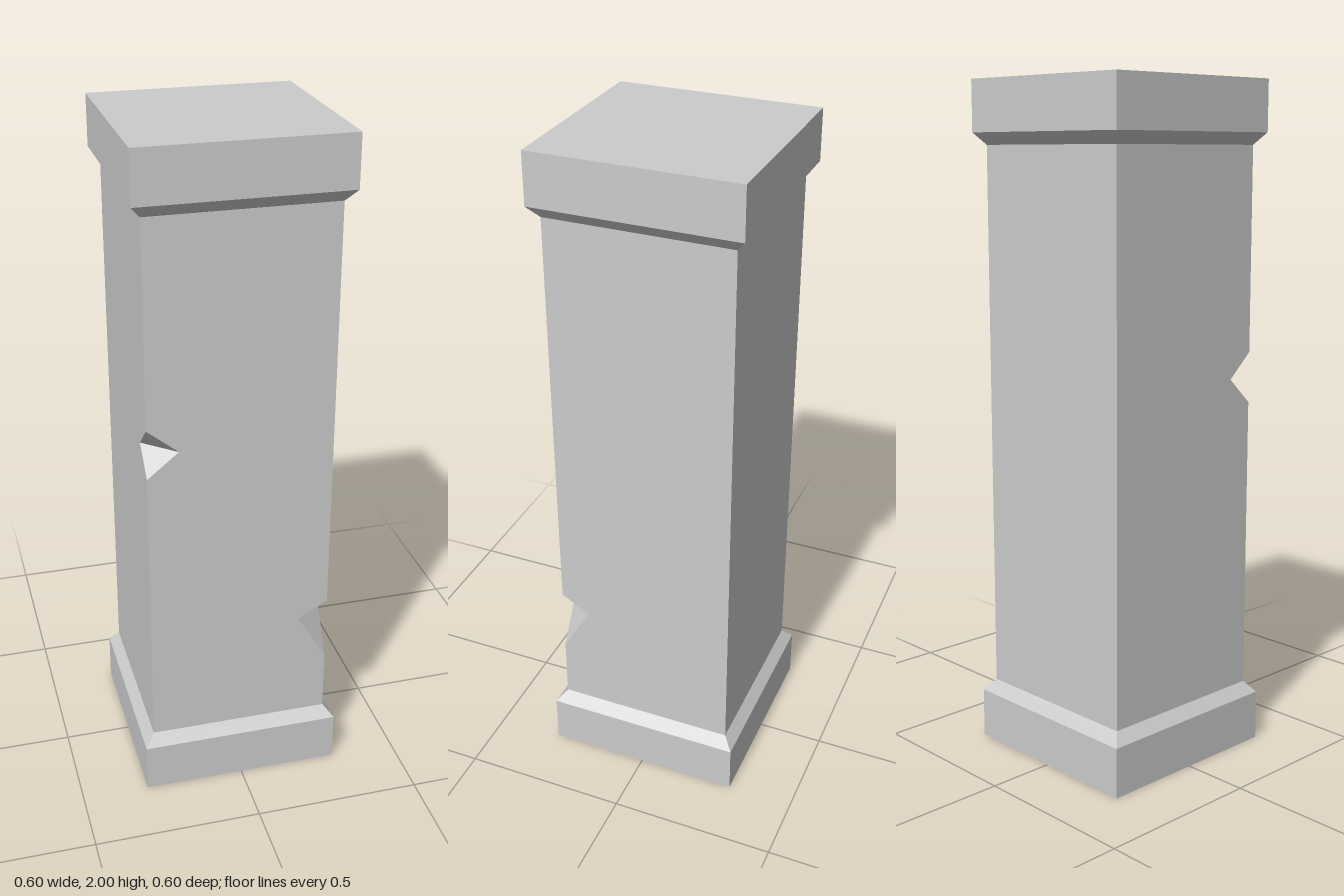
import * as THREE from 'three';

const HALF = 0.271;   // half width of the shaft
const WIDE = 0.3;     // half width of base and cap
const LOW = 0.185, HIGH = 1.815;

const material = new THREE.MeshStandardMaterial({ color: 0xcccccc, flatShading: true });

// Chips broken out of the two front corners; inset is measured along each face
const rightChip = { side: 1, top: 0.575, mid: 0.525, bottom: 0.375, front: 0.09, flank: 0.087 };
const leftChip = { side: -1, top: 1.215, mid: 1.14, bottom: 1.065, front: 0.092, flank: 0.083 };

function addMesh(parent, name, geometry) {
  const mesh = new THREE.Mesh(geometry, material);
  mesh.name = name;
  parent.add(mesh);
  return mesh;
}

// Square solid from a profile of [half width, height]
function squareSolid(profile) {
  const points = profile.map(([w, y]) => new THREE.Vector2(w * Math.SQRT2, y));
  return new THREE.LatheGeometry(points, 4).rotateY(Math.PI / 4);
}

// One face of the shaft, with optional notches in its left and right edges
function panel(angle, leftNotch, rightNotch) {
  const points = [[-HALF, LOW], [HALF, LOW]];
  if (rightNotch) {
    const [c, d] = rightNotch;
    points.push([HALF, c.bottom], [HALF - d, c.mid], [HALF, c.top]);
  }
  points.push([HALF, HIGH], [-HALF, HIGH]);
  if (leftNotch) {
    const [c, d] = leftNotch;
    points.push([-HALF, c.top], [-HALF + d, c.mid], [-HALF, c.bottom]);
  }
  const shape = new THREE.Shape(points.map(([x, y]) => new THREE.Vector2(x, y)));
  return new THREE.ShapeGeometry(shape).translate(0, 0, HALF).rotateY(angle);
}

// The two broken facets inside a chip
function chipFacets({ side, top, mid, bottom, front, flank }) {
  const t = [side * HALF, top, HALF];
  const b = [side * HALF, bottom, HALF];
  const f = [side * (HALF - front), mid, HALF];
  const s = [side * HALF, mid, HALF - flank];
  const corners = side > 0 ? [t, f, s, b, s, f] : [t, s, f, b, f, s];
  const geometry = new THREE.BufferGeometry();
  geometry.setAttribute('position', new THREE.Float32BufferAttribute(corners.flat(), 3));
  geometry.computeVertexNormals();
  return geometry;
}

export function createModel() {
  const pillar = new THREE.Group();
  pillar.name = 'pillar';

  // Base and cap, each with a bevel towards the shaft
  addMesh(pillar, 'base', squareSolid([[0, 0], [WIDE, 0], [WIDE, 0.15], [HALF, LOW], [0, LOW]]));
  addMesh(pillar, 'cap', squareSolid([[0, HIGH], [HALF, HIGH], [WIDE, 1.85], [WIDE, 2], [0, 2]]));

  // Shaft
  const shaft = new THREE.Group();
  shaft.name = 'shaft';
  pillar.add(shaft);
  addMesh(shaft, 'frontFace', panel(0, [leftChip, leftChip.front], [rightChip, rightChip.front]));
  addMesh(shaft, 'positiveXFace', panel(Math.PI / 2, [rightChip, rightChip.flank], null));
  addMesh(shaft, 'backFace', panel(Math.PI, null, null));
  addMesh(shaft, 'negativeXFace', panel(-Math.PI / 2, null, [leftChip, leftChip.flank]));
  addMesh(shaft, 'lowerChip', chipFacets(rightChip));
  addMesh(shaft, 'upperChip', chipFacets(leftChip));

  return pillar;
}
